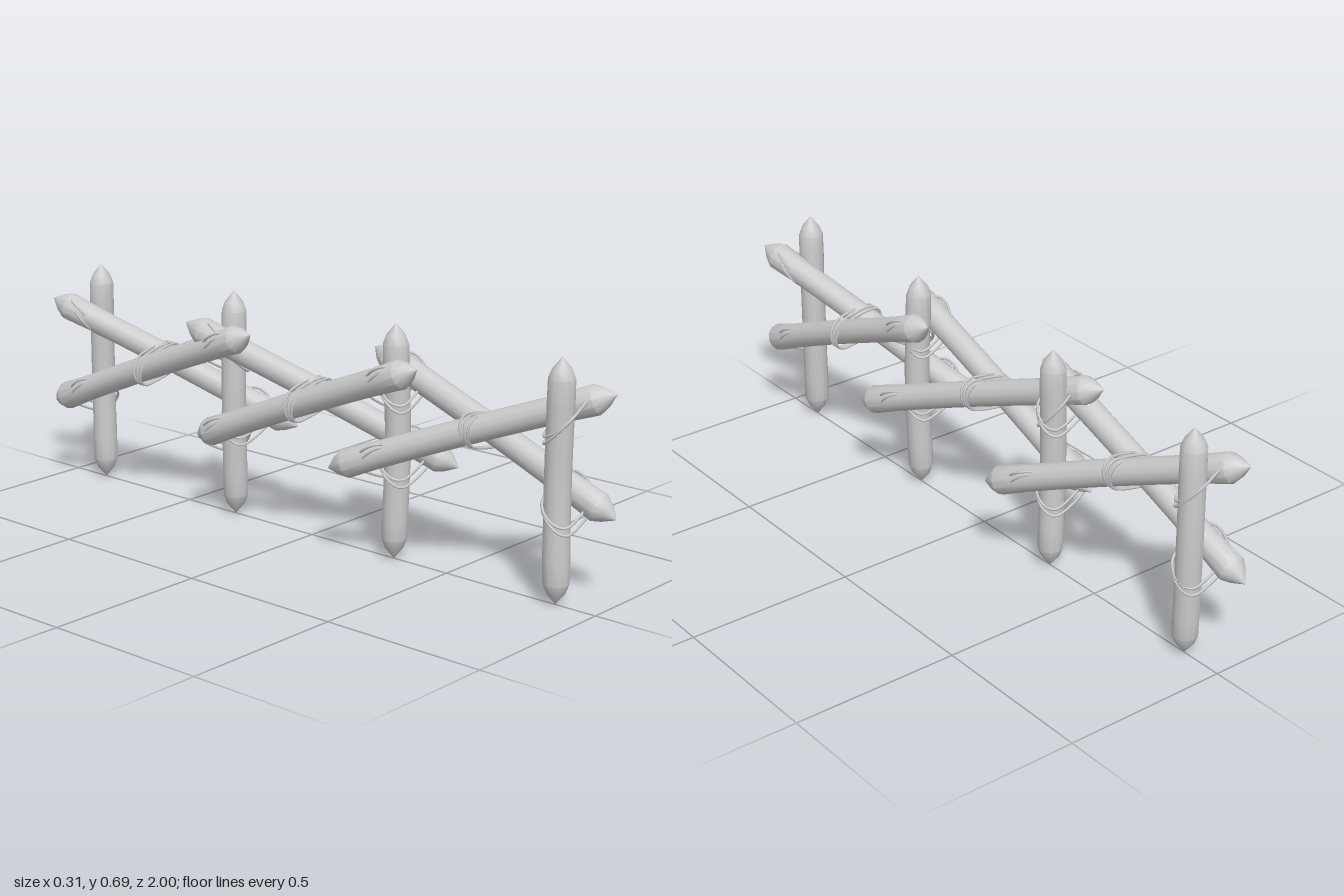
import * as THREE from 'three';
import { toCreasedNormals } from 'three/addons/utils/BufferGeometryUtils.js';

const material = new THREE.MeshStandardMaterial({ color: 0xcccccc });
const UP = new THREE.Vector3(0, 1, 0);
const V = (x, y, z) => new THREE.Vector3(x, y, z);

// Wooden pole, pointed at both ends and slightly bowed sideways
function pole(name, from, to, r, flare, bowX, bowZ) {
  const length = from.distanceTo(to);
  const tip = 0.06;
  const profile = [[0, 0], [r * 0.72, tip * 0.55], [r * flare, tip]];
  for (let i = 1; i < 8; i++) {
    profile.push([r * (i === 1 || i === 7 ? 1.02 : 1), tip + (length - 2 * tip) * i / 8]);
  }
  profile.push([r * flare, length - tip], [r * 0.72, length - tip * 0.55], [0, length]);
  const geometry = new THREE.LatheGeometry(profile.map(([x, y]) => new THREE.Vector2(x, y)), 12);
  const pos = geometry.attributes.position;
  for (let i = 0; i < pos.count; i++) {
    const bend = Math.sin(Math.PI * pos.getY(i) / length) ** 2;
    pos.setX(i, pos.getX(i) + bowX * bend);
    pos.setZ(i, pos.getZ(i) + bowZ * bend);
  }
  const mesh = new THREE.Mesh(toCreasedNormals(geometry, 0.6), material);
  mesh.name = name;
  mesh.position.copy(from);
  mesh.quaternion.setFromUnitVectors(UP, to.clone().sub(from).normalize());
  return mesh;
}

// Rope loop stretched round two centres a and b; v is its half width vector
function ropeLoop(name, a, b, v, endRadius) {
  const u = b.clone().sub(a).normalize();
  const points = [];
  for (let i = 0; i < 14; i++) {
    const angle = (i % 7) / 6 * Math.PI + (i < 7 ? -Math.PI / 2 : Math.PI / 2);
    points.push((i < 7 ? b : a).clone()
      .addScaledVector(u, Math.cos(angle) * endRadius)
      .addScaledVector(v, Math.sin(angle)));
  }
  const curve = new THREE.CatmullRomCurve3(points, true, 'centripetal');
  const mesh = new THREE.Mesh(new THREE.TubeGeometry(curve, 36, 0.004, 5, true), material);
  mesh.name = name;
  return mesh;
}

// Point of a straight rail at a given z
function railAt(rail, z) {
  const t = (z - rail.from.z) / (rail.to.z - rail.from.z);
  return rail.from.clone().lerp(rail.to, t);
}

export function createModel() {
  const group = new THREE.Group();

  // Upright posts
  const posts = [
    { z: 0.87, bow: [0.006, -0.008] },
    { z: 0.31, bow: [0.008, 0.004] },
    { z: -0.305, bow: [-0.008, 0.003] },
    { z: -0.87, bow: [0.006, -0.008] },
  ];
  posts.forEach(({ z, bow }) =>
    group.add(pole('post', V(0, 0, z), V(0, 0.685, z), 0.037, 1, ...bow)));

  // Each bay has two crossing rails
  const bays = [
    { cross: 0.59, rails: [
      { from: V(0.105, 0.58, 0.975), to: V(-0.13, 0.27, 0.175) },
      { from: V(0.083, 0.245, 1.0), to: V(0.065, 0.585, 0.18) }] },
    { cross: 0.01, rails: [
      { from: V(-0.06, 0.585, 0.435), to: V(-0.08, 0.245, -0.385) },
      { from: V(0.125, 0.265, 0.44), to: V(-0.08, 0.585, -0.425) }] },
    { cross: -0.595, rails: [
      { from: V(-0.07, 0.585, -0.175), to: V(-0.085, 0.245, -1.0) },
      { from: V(0.135, 0.265, -0.175), to: V(-0.105, 0.58, -0.975) }] },
  ];

  bays.forEach(({ cross, rails }, bay) => {
    rails.forEach((rail) => {
      group.add(pole('rail', rail.from, rail.to, 0.038, 1.12, 0, 0.004));

      // Diagonal lashings where the rail passes a post
      posts.slice(bay, bay + 2).forEach(({ z }) => {
        const p = railAt(rail, z);
        const slope = Math.sign(p.y - railAt(rail, cross).y) * (z > cross ? 1 : -1);
        for (let i = 0; i < 2; i++) {
          const a = V(0, p.y - 0.035 - 0.012 * i, z);
          const b = p.clone().add(V(0, 0.01 - 0.018 * i, 0));
          const v = V(0, slope * (0.03 + 0.012 * i), 0.046);
          group.add(ropeLoop('postLashing', a, b, v, 0.044));
        }
      });
    });

    // Binding round the crossing of the two rails
    for (let i = -1; i <= 1; i++) {
      const z = cross + i * 0.013;
      const [a, b] = rails.map((rail) => railAt(rail, cross).setZ(z));
      group.add(ropeLoop('crossBinding', a, b, V(0, 0.046, i * 0.006), 0.043));
    }
  });

  return group;
}
